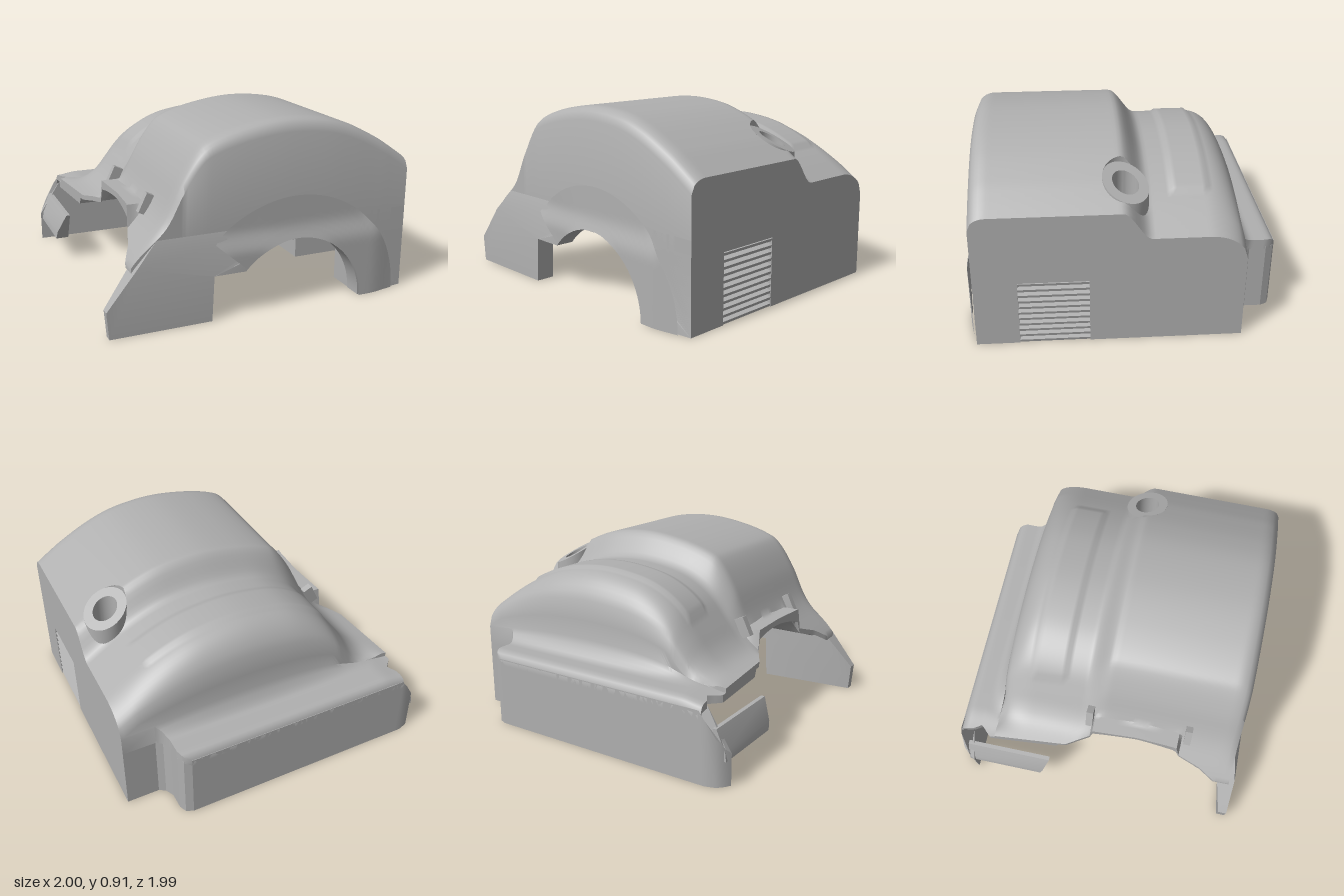
import * as THREE from 'three';
import { toCreasedNormals } from 'three/addons/utils/BufferGeometryUtils.js';

// Piecewise linear profile lookup, and a smooth profile sampled from a few points
const lookup = (pts, x) => {
  if (x <= pts[0][0]) return pts[0][1];
  for (let i = 1; i < pts.length; i++) {
    const [x0, y0] = pts[i - 1], [x1, y1] = pts[i];
    if (x <= x1) return y0 + (y1 - y0) * (x - x0) / (x1 - x0);
  }
  return pts[pts.length - 1][1];
};
const vectors = (pts) => pts.map(([a, b]) => new THREE.Vector2(a, b));
const spline = (pts) => new THREE.SplineCurve(vectors(pts)).getPoints(150).map((p) => [p.x, p.y]);
const smooth = THREE.MathUtils.smoothstep;
const roundOff = (t) => 1 - Math.sqrt(Math.max(0, 1 - Math.max(0, t) ** 2));

// Side profiles (z, y), and the front and fender rear edges in plan (x, z)
const ROOF = spline([[-0.81, 0.67], [-0.73, 0.725], [-0.65, 0.775], [-0.5, 0.85], [-0.35, 0.895], [-0.15, 0.91], [0.05, 0.885],
  [0.21, 0.84], [0.28, 0.79], [0.36, 0.67], [0.45, 0.49], [0.6, 0.32], [0.745, 0.13]]);
const SIDE_ROOF = spline([[-0.81, 0.54], [-0.65, 0.645], [-0.5, 0.72], [-0.35, 0.765], [-0.15, 0.785], [0.05, 0.765], [0.18, 0.725],
  [0.29, 0.655], [0.38, 0.55], [0.45, 0.465], [0.53, 0.41], [0.66, 0.38]]);
const FRONT = [[-0.76, 0.62], [-0.69, 0.61], [-0.65, 0.585], [-0.6, 0.635], [-0.2, 0.6], [-0.08, 0.53], [0.16, 0.517],
  [0.35, 0.526], [0.5, 0.57], [0.58, 0.61], [0.665, 0.61]];
const HOLE = { x: -0.03, z: -0.66, bore: 0.06, rim: 0.105 };
const EDGE = -0.57;
const REAR = [[-0.76, -0.55], [-0.745, -0.585], [-0.71, -0.6], [-0.63, -0.6], [-0.59, -0.62], [EDGE, -0.65]];

const topHeight = (x, z) => {
  const profile = lookup(SIDE_ROOF, z);
  if (x < EDGE) { // low fender, filleted into the raised side
    const fillet = Math.max(0, (x + 0.64) / 0.07);
    return 0.38 - 0.04 * roundOff((-0.71 - x) / 0.05) - 0.015 * smooth(z, 0.5, 0.64)
      + Math.max(0, profile - 0.42) * 0.25 * fillet * fillet;
  }
  const drop = Math.max(0.12, 0.55 * (profile - 0.38)) * smooth(0.7 - z, 0.08, 0.3);
  let side = Math.max(profile - drop * roundOff((-0.4 - x) / 0.17), 0.38);
  if (x > -0.41 && x < -0.24 && z > -0.62 && z < 0.33) side += 0.012;
  let y = THREE.MathUtils.lerp(side, lookup(ROOF, z), smooth(x, -0.14, -0.01));
  y -= 0.06 * roundOff((x - 0.585) / 0.08) * smooth(0.7 - z, 0.1, 0.4);
  if (x > -0.08 && x < 0.38 && z > 0.44) y = Math.max(y, 0.5);
  return y;
};
const ceilingHeight = (x, z) => {
  const k = (x - 0.11) / 0.36;
  const arch = 0.14 * Math.sqrt(Math.max(0, 1 - k * k)) * smooth(z, 0.25, 0.5);
  return Math.min(0.33 + arch, topHeight(x, z) - 0.025);
};

// Thick shell lofted from cross-sections, with a round opening through it
function shellGeometry() {
  const xs = [];
  for (let i = 0; i <= 14; i++) xs.push(-0.76 + i * 0.0135);
  for (let i = 0; i <= 74; i++) xs.push(EDGE + i * (0.665 - EDGE) / 74);
  const rows = 84, top = [], low = [], inside = [], pos = [];
  xs.forEach((x) => {
    const back = x < EDGE ? lookup(REAR, x) : -0.81, front = lookup(FRONT, x);
    const t = [], l = [], h = [];
    for (let j = 0; j <= rows; j++) {
      let px = x, pz = back + (front - back) * j / rows;
      const dx = px - HOLE.x, dz = pz - HOLE.z, d = Math.hypot(dx, dz) || 1e-6;
      h.push(d <= HOLE.rim);
      if (d <= HOLE.rim) { px = HOLE.x + dx * HOLE.rim / d; pz = HOLE.z + dz * HOLE.rim / d; }
      t.push([px, topHeight(px, pz), pz]);
      l.push([px, ceilingHeight(px, pz), pz]);
    }
    top.push(t); low.push(l); inside.push(h);
  });
  const tri = (a, b, c) => pos.push(...a, ...b, ...c);
  const quad = (a, b, c, d) => { tri(a, b, c); tri(a, c, d); };
  const last = xs.length - 1;
  for (let i = 0; i < last; i++) {
    for (let j = 0; j < rows; j++) {
      for (const [p, q, r] of [[[i, j], [i, j + 1], [i + 1, j]], [[i, j + 1], [i + 1, j + 1], [i + 1, j]]]) {
        if ([p, q, r].every(([a, b]) => inside[a][b])) continue;
        tri(top[p[0]][p[1]], top[q[0]][q[1]], top[r[0]][r[1]]);
        tri(low[p[0]][p[1]], low[r[0]][r[1]], low[q[0]][q[1]]);
      }
    }
    quad(top[i][0], top[i + 1][0], low[i + 1][0], low[i][0]);
    quad(low[i][rows], low[i + 1][rows], top[i + 1][rows], top[i][rows]);
  }
  for (let j = 0; j < rows; j++) {
    quad(low[0][j], low[0][j + 1], top[0][j + 1], top[0][j]);
    quad(top[last][j], top[last][j + 1], low[last][j + 1], low[last][j]);
  }
  const g = new THREE.BufferGeometry();
  g.setAttribute('position', new THREE.Float32BufferAttribute(pos, 3));
  return toCreasedNormals(g, 0.75);
}

const extrude = (shape, depth) => new THREE.ExtrudeGeometry(shape, { depth, bevelEnabled: false, curveSegments: 40 });
// (z, y) shape whose outer face lies at x, thickened towards -x
const sideways = (shape, x, depth) => extrude(shape, depth).rotateY(-Math.PI / 2).translate(x, 0, 0);
// (x, z) shape hung down from height y
const downward = (shape, y, depth) => extrude(shape, depth).rotateX(Math.PI / 2).translate(0, y, 0);
// Move one coordinate (0 = x, 1 = y) of each vertex by a rule
const reshape = (geometry, axis, rule) => {
  const p = geometry.attributes.position;
  for (let i = 0; i < p.count; i++) p.setComponent(i, axis, rule(p.getX(i), p.getY(i), p.getZ(i)));
  return toCreasedNormals(geometry, 0.6);
};
// Outward swell of the lower right side
const flare = (y, z) => 0.028 * smooth(z, -0.8, -0.6) * (1 - smooth(y, 0.3, 0.42));

export function createModel() {
  const grey = new THREE.MeshStandardMaterial({ color: 0xb0b0b0, side: THREE.DoubleSide });
  grey.name = 'plain grey';
  const model = new THREE.Group();
  model.name = 'bodyShell';
  const body = new THREE.Group();
  body.name = 'body';
  body.rotation.y = -0.584;
  model.add(body);
  const add = (name, geometry) => {
    const mesh = new THREE.Mesh(geometry, grey);
    mesh.name = name;
    body.add(mesh);
    return mesh;
  };

  add('upperShell', shellGeometry());

  // Right wall with wheel arch and step notch, thinning towards the front tip
  const wall = new THREE.Shape();
  wall.moveTo(-0.81, 0);
  wall.lineTo(-0.68, 0);
  wall.lineTo(-0.545, 0);
  wall.absarc(-0.2, 0, 0.345, Math.PI, 0.69, true);
  [[0.225, 0.22], [0.235, 0], [0.725, 0], [0.735, 0.13], [0.59, 0.31], [0.49, 0.42], [0.2, 0.42], [-0.2, 0.42],
    [-0.6, 0.42], [-0.81, 0.42]].forEach(([a, b]) => wall.lineTo(a, b));
  add('rightWall', reshape(sideways(wall, 0.665, 0.065), 0, (x, y, z) =>
    (x > 0.63 ? x + flare(y, z) : z > 0.7 ? 0.65 : x)));

  // Raised lip round the arch, fading out towards the front
  const lip = new THREE.RingGeometry(0.346, 0.55, 48, 8, 0.72, Math.PI - 0.72).rotateY(-Math.PI / 2).translate(0, 0, -0.2);
  add('archLip', reshape(lip, 0, (x, y, z) => {
    const angle = Math.atan2(y, z + 0.2);
    return 0.667 + flare(y, z) + 0.01 * smooth(angle, 0.72, 1.3);
  }));

  // Left fender wall with a rounded, sloping front corner
  const fender = new THREE.Shape(vectors([[-0.76, -0.55], [-0.69, -0.55], [-0.69, 0.61], [-0.69, 0.735], [-0.715, 0.72],
    [-0.745, 0.69], [-0.76, 0.64], [-0.76, 0.61]]));
  add('leftWall', reshape(downward(fender, 0.345, 0.345), 1, (x, y, z) =>
    (y > 0.1 ? 0.345 - 1.6 * Math.max(0, z - 0.615) : y)));

  // Rear block with the vertical bore, and its tilted collar
  const block = new THREE.Shape(vectors([[EDGE, -0.81], [0.14, -0.81], [0.14, -0.5], [-0.76, -0.5], ...REAR]));
  block.holes.push(new THREE.Path().absarc(HOLE.x, HOLE.z, HOLE.bore, 0, Math.PI * 2, true));
  add('rearBlock', downward(block, 0.34, 0.34));
  const collar = new THREE.LatheGeometry(vectors([[HOLE.bore, 0.3], [HOLE.bore, 1], [HOLE.rim, 1], [HOLE.rim, 2]]), 40);
  add('collar', reshape(collar.translate(HOLE.x, 0, HOLE.z), 1, (x, y, z) => {
    if (y < 0.5) return y;
    return y > 1.5 ? topHeight(x, z) : 0.745 + 0.29 * (x - HOLE.x) + 0.45 * (z - HOLE.z);
  }));

  // Right rear corner and the grille between the blocks
  const corner = new THREE.Shape(vectors([[0.465, -0.81], [0.665, -0.81], [0.665, -0.55], [0.465, -0.55]]));
  add('rearCorner', downward(corner, 0.34, 0.34));
  const grille = new THREE.Group();
  grille.name = 'grille';
  for (let i = 0; i < 11; i++) {
    const slat = new THREE.Mesh(new THREE.BoxGeometry(0.33, 0.014, 0.03), grey);
    slat.name = 'slat';
    slat.position.set(0.3025, 0.012 + i * 0.031, -0.793);
    slat.rotation.x = -0.25;
    grille.add(slat);
  }
  body.add(grille);

  // Front bar with a sloped face and slanted end, cantilevered from the left wall
  const bar = new THREE.Shape(vectors([[0.66, 0.12], [0.725, 0.12], [0.72, 0.16], [0.675, 0.26], [0.655, 0.26]]));
  add('frontBar', reshape(sideways(bar, -0.29, 0.43), 0, (x, y) => (x > -0.4 ? -0.33 + (y - 0.12) * 0.35 : x)));

  // Small posts at both ends of the front ledge
  for (const [x, z] of [[-0.095, 0.455], [0.41, 0.45]]) {
    const post = add('ledgePost', new THREE.BoxGeometry(0.035, 0.1, 0.05));
    post.position.set(x, 0.51, z);
    post.rotation.x = -0.45;
  }
  return model;
}
